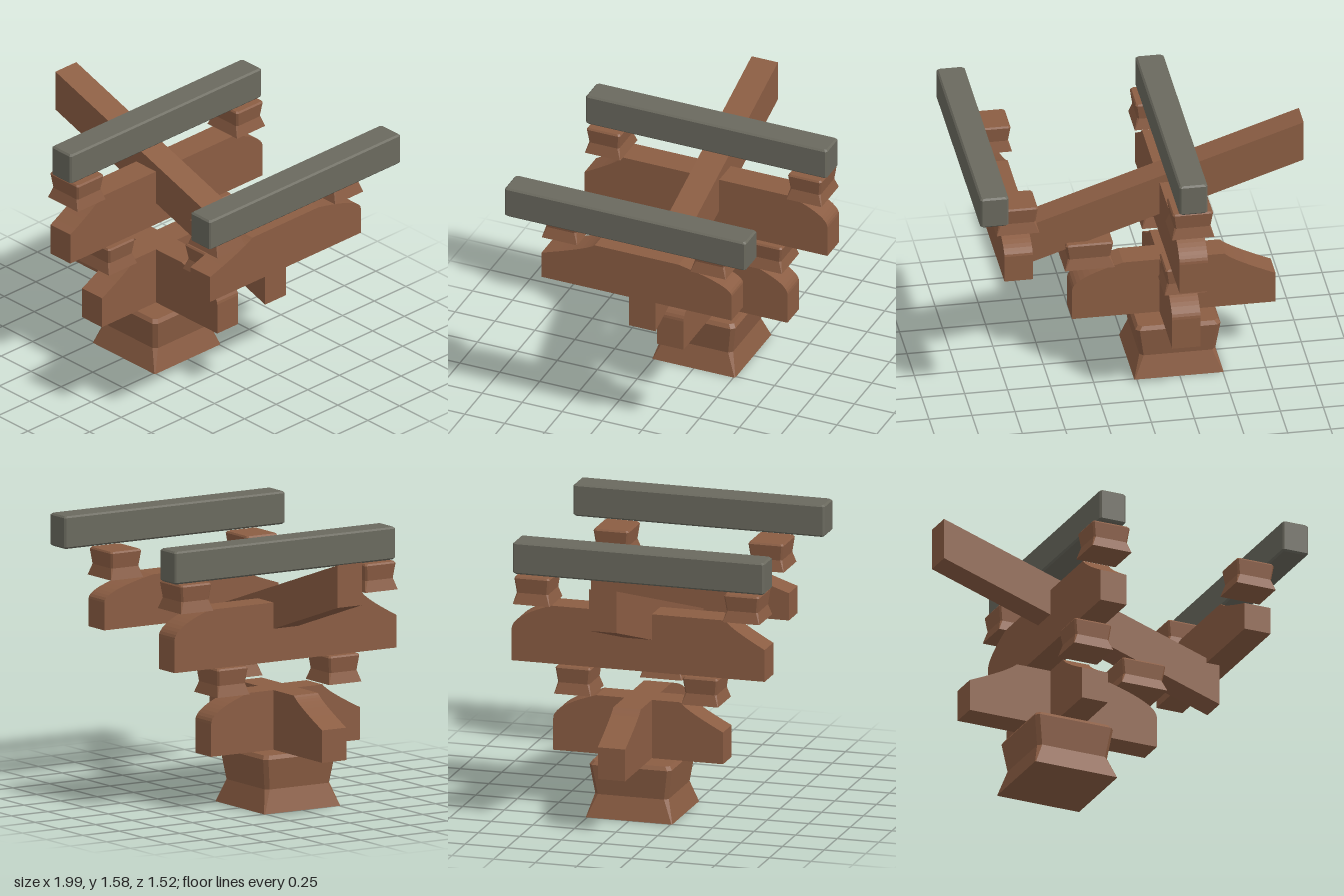
import * as THREE from 'three';

const wood = new THREE.MeshStandardMaterial({ color: 0x8b5d43 });
wood.name = 'brown wood';
const grey = new THREE.MeshStandardMaterial({ color: 0x6a695e });
grey.name = 'grey timber';

// Stack of chamfered rectangles; each level is [y, halfX, halfZ, chamfer]
function loft(levels) {
  const rings = levels.map(([y, a, b, c]) => [
    [a, b - c], [a, c - b], [a - c, -b], [c - a, -b],
    [-a, c - b], [-a, b - c], [c - a, b], [a - c, b],
  ].map(([x, z]) => new THREE.Vector3(x, y, z)));
  const pts = [];
  const top = rings[rings.length - 1];
  for (let i = 0; i < 8; i++) {
    const j = (i + 1) % 8;
    for (let k = 0; k < rings.length - 1; k++) {
      const lo = rings[k], hi = rings[k + 1];
      pts.push(lo[i], lo[j], hi[j], lo[i], hi[j], hi[i]);
    }
    if (i > 0 && i < 7) {
      pts.push(top[0], top[i], top[j]);
      pts.push(rings[0][0], rings[0][j], rings[0][i]);
    }
  }
  const geo = new THREE.BufferGeometry().setFromPoints(pts);
  geo.computeVertexNormals();
  return geo;
}

// Waisted bearing block: splayed foot, narrow waist, chamfered top
function blockGeometry(halfX, halfZ, h, c) {
  return loft([
    [0, halfX, halfZ, c * 0.2],
    [h * 0.4, halfX * 0.85, halfZ * 0.85, c],
    [h - c, halfX * 0.95, halfZ * 0.95, c],
    [h, halfX * 0.95 - c * 0.7, halfZ * 0.95 - c * 0.7, c],
  ]);
}

// Side profile swept across the timber's width
function timber(shape, width = 0.165) {
  const geo = new THREE.ExtrudeGeometry(shape, { depth: width, bevelEnabled: false, curveSegments: 10 });
  return geo.translate(0, 0, -width / 2);
}

// Bracket arm: one end scooped, the other end rounded
function armGeometry(half, flat, bottom, end, top) {
  const run = half - flat, drop = top - end;
  const s = new THREE.Shape();
  s.moveTo(-half, bottom);
  s.lineTo(half, bottom);
  s.lineTo(half, end);
  s.quadraticCurveTo(half, top - drop * 0.5, flat, top);
  s.lineTo(-flat, top);
  s.quadraticCurveTo(-flat - run * 0.15, top - drop * 0.3, -half, end);
  s.closePath();
  return timber(s);
}

export function createModel() {
  const model = new THREE.Group();
  model.name = 'bracketSet';
  const add = (name, geo, mat, x = 0, y = 0, z = 0) => {
    const mesh = new THREE.Mesh(geo, mat);
    mesh.name = name;
    mesh.position.set(x, y, z);
    model.add(mesh);
    return mesh;
  };
  const axis = -0.245, front = 0.745;

  // Base block
  add('baseBlock', blockGeometry(0.26, 0.26, 0.333, 0.022), wood, axis);

  // Crossed lower arms
  add('lowerLongArm', armGeometry(0.592, 0.295, 0.333, 0.522, 0.68), wood, axis);
  add('lowerCrossArm', armGeometry(0.51, 0.252, 0.333, 0.522, 0.68), wood, axis).rotation.y = Math.PI / 2;

  // Upper cross arms
  add('upperCrossArm', armGeometry(0.76, 0.522, 0.845, 1.034, 1.19), wood, axis).rotation.y = Math.PI / 2;
  add('frontCrossArm', armGeometry(0.595, 0.262, 0.928, 1.09, 1.222), wood, front).rotation.y = Math.PI / 2;

  // Slanting lever beam with upright cut ends
  const lever = new THREE.Shape([
    [-1, 1.26], [0.745, 0.682], [0.745, 0.93], [-1, 1.508],
  ].map(([x, y]) => new THREE.Vector2(x, y)));
  add('leverBeam', timber(lever), wood);

  // Small bearing blocks
  const small = blockGeometry(0.124, 0.111, 0.163, 0.01);
  for (const side of [-1, 1]) {
    add('lowerBlock', small, wood, axis, 0.68, side * 0.382);
    add('upperBlock', small, wood, axis, 1.192, side * 0.63);
    add('frontBlock', small, wood, front, 1.222, side * 0.465);
  }
  add('leverBlock', blockGeometry(0.145, 0.126, 0.163, 0.01), wood, 0.25, 0.68, 0);

  // Purlins with eased edges
  const purlin = loft([
    [0, 0.072, 0.745, 0.01], [0.01, 0.082, 0.755, 0.01],
    [0.18, 0.082, 0.755, 0.01], [0.19, 0.072, 0.745, 0.01],
  ]);
  add('rearPurlin', purlin, grey, axis, 1.358, 0);
  add('frontPurlin', purlin, grey, 0.912, 1.39, 0);

  return model;
}
